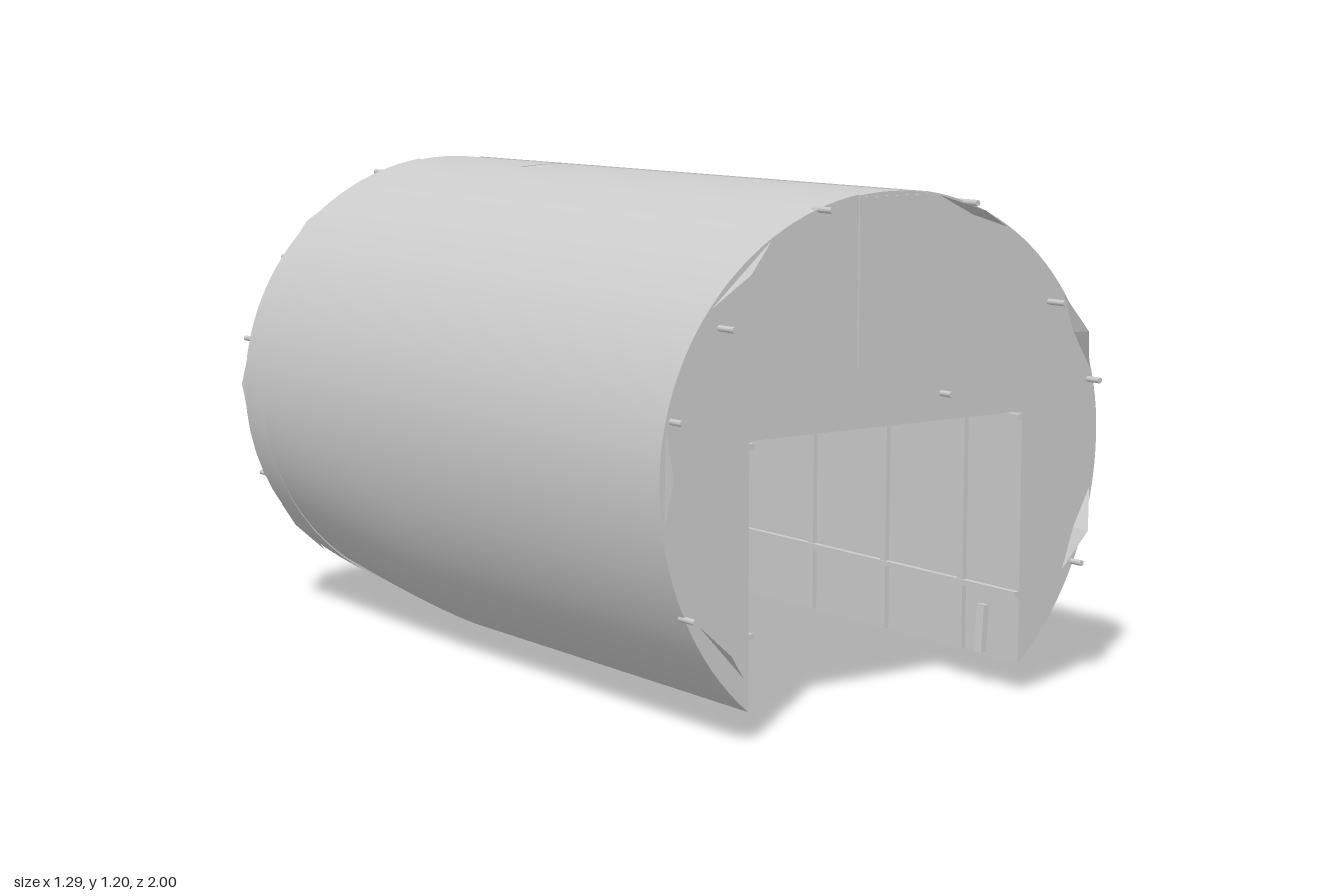
import * as THREE from 'three';
import { toCreasedNormals } from 'three/addons/utils/BufferGeometryUtils.js';

const CY = 0.604, RX = 0.643, RY = 0.602;
const FRONT = 0.945, WALL = -0.83, BACK = -0.93;
const CAV = 0.402, CEIL = 0.675, SLOT = 0.1, SLOT_DEPTH = 0.025;

const mat = new THREE.MeshStandardMaterial({ color: 0xcccccc });
const thin = new THREE.MeshStandardMaterial({ color: 0xcccccc, side: THREE.DoubleSide });

// height of the upper curve at x
const topY = (x) => CY + RY * Math.sqrt(Math.max(0, 1 - (x / RX) ** 2));

// Outline, counterclockwise from the front; ryLow shapes the lower half.
function outline(ryLow, tunnel) {
  const pts = [];
  const low = tunnel ? Math.acos(CAV / RX) : Math.PI / 2;
  const slotA = Math.acos(SLOT / RX);
  const N = 16, M = 28;
  for (let i = 0; i < N; i++) {
    const a = -low * (1 - i / N);
    pts.push([RX * Math.cos(a), CY + ryLow * Math.sin(a)]);
  }
  for (let i = 0; i <= M; i++) {
    const a = slotA * i / M;
    pts.push([RX * Math.cos(a), CY + RY * Math.sin(a)]);
  }
  pts.push([SLOT, topY(SLOT) - SLOT_DEPTH]);
  const left = pts.map(([x, y]) => [-x, y]).reverse();
  if (!tunnel) left.pop(); // bottom point is shared
  const loop = pts.concat(left);
  if (tunnel) loop.push([-CAV, CEIL], [CAV, CEIL]);
  return loop;
}

// Loft of outlines from front to back, capped at both ends
function loft(sections) {
  const pos = [], idx = [], n = sections[0].pts.length;
  sections.forEach((s) => s.pts.forEach(([x, y]) => pos.push(x, y, s.z)));
  for (let k = 0; k < sections.length - 1; k++) {
    for (let i = 0; i < n; i++) {
      const j = (i + 1) % n, a = k * n + i, b = k * n + j, c = a + n, d = b + n;
      idx.push(a, c, b, b, c, d);
    }
  }
  [0, sections.length - 1].forEach((k) => {
    const flat = sections[k].pts.map(([x, y]) => new THREE.Vector2(x, y));
    THREE.ShapeUtils.triangulateShape(flat, []).forEach(([a, b, c]) => {
      const o = k * n;
      if (k === 0) idx.push(o + a, o + b, o + c);
      else idx.push(o + a, o + c, o + b);
    });
  });
  const g = new THREE.BufferGeometry();
  g.setAttribute('position', new THREE.Float32BufferAttribute(pos, 3));
  g.setIndex(idx);
  return toCreasedNormals(g, 0.5);
}

function add(parent, name, geo, x = 0, y = 0, z = 0, material = mat) {
  const m = new THREE.Mesh(geo, material);
  m.name = name;
  m.position.set(x, y, z);
  parent.add(m);
  return m;
}
const box = (w, h, d) => new THREE.BoxGeometry(w, h, d);

// Curved strip that fills the slot in the roof
function roofFlap(z0, z1) {
  const s = new THREE.Shape();
  const w = SLOT - 0.002, base = topY(SLOT) - SLOT_DEPTH;
  s.moveTo(-w, base);
  s.lineTo(w, base);
  for (let i = 0; i <= 8; i++) {
    const x = w - 2 * w * i / 8;
    s.lineTo(x, topY(x) - 0.003);
  }
  return new THREE.ExtrudeGeometry(s, { depth: z1 - z0, bevelEnabled: false }).translate(0, 0, z0);
}

// Thin pointed tuft on the rim between two angles
function tuft(a0, a1, z, dir) {
  const at = (a, k, dz) => [RX * k * Math.cos(a), CY + RY * k * Math.sin(a), z + dz * dir];
  const am = (a0 + a1) / 2;
  const A = at(a0, 0.995, -0.002), B = at(a1, 0.995, -0.002);
  const P = at(am, 0.985, 0.038), C = at(am, 0.965, 0);
  const g = new THREE.BufferGeometry();
  g.setAttribute('position', new THREE.Float32BufferAttribute([A, B, P, A, P, C, B, C, P].flat(), 3));
  g.computeVertexNormals();
  return g;
}

export function createModel() {
  const model = new THREE.Group();

  // Tunnel-shaped body; its lower edge rises toward the back
  const sections = [{ z: FRONT, pts: null, rise: 0 }];
  for (let i = 0; i <= 8; i++) {
    const t = i / 8;
    sections.push({ z: -0.18 + (WALL + 0.18) * t, rise: 0.068 * Math.pow(t, 1.4) });
  }
  const cut = Math.sqrt(1 - (CAV / RX) ** 2);
  sections.forEach((s) => { s.pts = outline((CY - 0.072 - s.rise) / cut, true); });
  add(model, 'body', loft(sections));

  // Closed rear wall
  add(model, 'rearWall', loft([
    { z: WALL, pts: outline(0.602, false) },
    { z: BACK, pts: outline(0.587, false) },
  ]));

  // Roof flaps with a gap between them, and the panels at both ends
  add(model, 'frontRoofFlap', roofFlap(-0.425, FRONT));
  add(model, 'rearRoofFlap', roofFlap(BACK, -0.44));
  [[FRONT, 'frontFlapPanel'], [BACK, 'rearFlapPanel']].forEach(([z, name]) => {
    add(model, name, box(2 * SLOT, 0.38, 0.008), 0, 1.003, z);
  });

  // Frame inside the tunnel
  const frame = new THREE.Group();
  frame.name = 'innerFrame';
  model.add(frame);
  for (let i = 0; i < 6; i++) {
    const z = 0.75 - i * 0.285;
    const bottom = z > -0.2 ? 0.075 : 0.075 + 0.068 * Math.pow((-0.18 - z) / 0.65, 1.4);
    add(frame, 'ceilingRib', box(2 * CAV, 0.03, 0.02), 0, CEIL - 0.015, z);
    [-1, 1].forEach((s) => {
      add(frame, 'wallRib', box(0.012, CEIL - bottom, 0.02), s * (CAV - 0.006), (CEIL + bottom) / 2, z);
    });
  }
  const len = FRONT - WALL, mid = (FRONT + WALL) / 2;
  [-1, 1].forEach((s) => {
    [0.24, 0.662].forEach((y) => {
      add(frame, 'sideRail', box(0.014, 0.012, len), s * (CAV - 0.007), y, mid);
    });
    [0.83, -0.4].forEach((z) => {
      const h = add(frame, 'handle', box(0.016, 0.115, 0.025), s * (CAV - 0.012), 0.14, z);
      h.rotation.z = -s * 0.07;
    });
  });
  [-0.178, 0, 0.178].forEach((x) => {
    const y0 = x ? 0.032 : 0.006;
    add(frame, 'rearPost', box(0.018, CEIL - y0, 0.015), x, (CEIL + y0) / 2, WALL + 0.0075);
  });
  add(frame, 'rearBeam', box(2 * CAV, 0.03, 0.015), 0, CEIL - 0.015, WALL + 0.0075);
  add(frame, 'ceilingBlock', box(0.045, 0.037, 0.05), 0, CEIL - 0.018, 0);
  add(frame, 'ceilingPlate', box(0.08, 0.006, 0.08), 0, 0.641, 0);

  // Pegs sticking out of both ends: x, y, length
  const pegs = [
    [-0.212, 1.17, 0.045], [0.212, 1.17, 0.045], [-0.485, 0.927, 0.055], [0.48, 0.927, 0.055],
    [-0.612, 0.735, 0.04], [0.612, 0.735, 0.04], [-0.573, 0.3, 0.035], [0.57, 0.3, 0.035], [0.15, 0.737, 0.035],
  ];
  const backPegs = [
    [-0.212, 1.165, 0.04], [0.212, 1.165, 0.04], [-0.485, 0.945, 0.07], [0.48, 0.945, 0.07],
    [-0.612, 0.735, 0.05], [0.612, 0.735, 0.05], [-0.575, 0.37, 0.045], [0.575, 0.37, 0.045], [-0.155, 0.765, 0.05],
  ];
  [[pegs, FRONT, 1], [backPegs, BACK, -1]].forEach(([list, z, dir]) => {
    list.forEach(([x, y, l]) => {
      const g = new THREE.CylinderGeometry(0.007, 0.007, l + 0.02, 8).rotateX(Math.PI / 2);
      add(model, 'peg', g, x, y, z + dir * (l - 0.02) / 2);
    });
  });

  // Loose tufts around both rims, as pairs of angles in degrees
  const tufts = [[57, 78], [35, 15], [-12, -33], [122, 143], [168, 190], [212, 230]];
  [[FRONT, 1], [BACK, -1]].forEach(([z, dir]) => {
    tufts.forEach(([a, b]) => {
      const r = Math.PI / 180;
      add(model, 'tuft', tuft(a * r, b * r, z, dir), 0, 0, 0, thin);
    });
  });
  return model;
}
